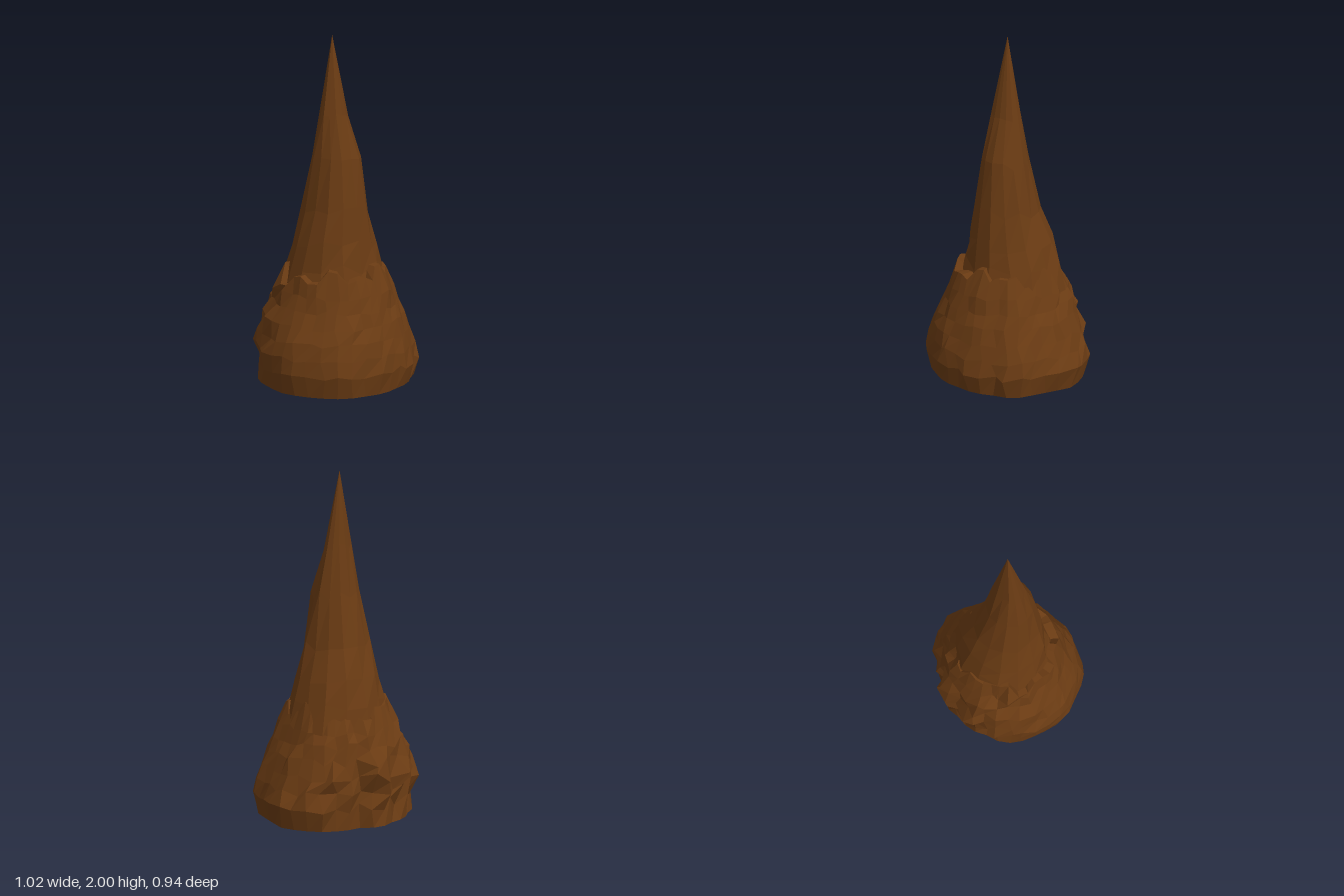
import * as THREE from 'three';

const brown = new THREE.MeshStandardMaterial({ color: 0x6a3b13, flatShading: true });

// Repeatable noise in -1..1
function noise(i, j) {
  const s = Math.sin(i * 127.1 + j * 311.7) * 43758.5453;
  return (s - Math.floor(s)) * 2 - 1;
}

// Skin between stacked rings of points (bottom to top), with optional flat base
function loft(rings, capBase) {
  const n = rings[0].length;
  const pos = rings.flat().flatMap(p => [p.x, p.y, p.z]);
  const idx = [];
  for (let r = 0; r < rings.length - 1; r++) {
    for (let i = 0; i < n; i++) {
      const a = r * n + i, b = r * n + (i + 1) % n;
      idx.push(b, a, a + n, b, a + n, b + n);
    }
  }
  if (capBase) {
    pos.push(0, rings[0][0].y, 0);
    for (let i = 0; i < n; i++) idx.push(pos.length / 3 - 1, i, (i + 1) % n);
  }
  const geo = new THREE.BufferGeometry();
  geo.setAttribute('position', new THREE.Float32BufferAttribute(pos, 3));
  geo.setIndex(idx);
  geo.computeVertexNormals();
  return geo;
}

// Slender spire: height, then reach toward +x, +z, -x, -z
function makeSpire() {
  const rows = [
    [0.35, 0.36, 0.34, 0.36, 0.35],
    [0.50, 0.33, 0.30, 0.32, 0.33],
    [0.68, 0.28, 0.245, 0.28, 0.29],
    [0.81, 0.235, 0.23, 0.255, 0.25],
    [1.00, 0.175, 0.20, 0.205, 0.19],
    [1.28, 0.115, 0.16, 0.165, 0.125],
    [1.56, 0.06, 0.08, 0.12, 0.07],
    [2.00, -0.03, -0.01, 0.03, 0.01],
  ];
  const n = 14;
  const rings = rows.map(([y, px, pz, nx, nz], r) => {
    const cx = (px - nx) / 2, cz = (pz - nz) / 2;
    const rx = (px + nx) / 2, rz = (pz + nz) / 2;
    return Array.from({ length: n }, (_, i) => {
      const a = i / n * Math.PI * 2;
      const tip = r === rows.length - 1;
      const k = tip ? 0 : 1 + 0.045 * noise(i, r);
      const dy = tip ? 0 : 0.035 * noise(i + 40, r);
      return new THREE.Vector3(cx + rx * k * Math.cos(a), y + dy, cz + rz * k * Math.sin(a));
    });
  });
  return loft(rings, false);
}

// Lumpy skirt of earth, roughest at the back, with a jagged rim lying against the spire
function makeSkirt() {
  // Widest outline every 15 degrees, from +x toward +z
  const outline = [
    0.51, 0.47, 0.47, 0.49, 0.46, 0.465, 0.46, 0.48, 0.485, 0.51, 0.505, 0.505,
    0.51, 0.49, 0.495, 0.495, 0.455, 0.46, 0.44, 0.465, 0.42, 0.46, 0.485, 0.50,
  ];
  // Height, then share of the outline toward +x, +z, -x, -z
  const rows = [
    [0.00, 0.94, 0.96, 0.95, 0.96],
    [0.12, 1.00, 1.00, 0.99, 0.93],
    [0.21, 0.93, 0.97, 0.98, 0.98],
    [0.29, 0.86, 0.92, 0.93, 1.01],
    [0.38, 0.79, 0.86, 0.85, 0.96],
    [0.46, 0.70, 0.80, 0.75, 0.86],
    [0.54, 0.64, 0.74, 0.70, 0.78],
    [0.64, 0.56, 0.65, 0.64, 0.68],
    [0.65, 0.42, 0.45, 0.45, 0.50],
  ];
  const n = 36, rim = 7;
  const rings = rows.map(([y, px, pz, nx, nz], r) => Array.from({ length: n }, (_, i) => {
    const t = i / n * outline.length, i0 = Math.floor(t);
    const R = THREE.MathUtils.lerp(outline[i0], outline[(i0 + 1) % outline.length], t - i0);
    let a = i / n * Math.PI * 2;
    const c = Math.cos(a), s = Math.sin(a), back = Math.max(0, -s);
    let k = (c > 0 ? px : nx) * c * c + (s > 0 ? pz : nz) * s * s;
    let dy = 0;
    if (r >= rim) {
      dy = 0.06 * noise(Math.floor(i / 2), 60) + 0.015 * noise(i, 61);
      k -= dy * 0.8;
    } else if (r > 0) {
      a += 0.05 * noise(i, r + 20);
      k += (0.018 + 0.05 * back) * noise(i, r + 5);
      dy = (0.015 + 0.02 * back) * noise(i + 9, r);
    }
    return new THREE.Vector3(R * k * Math.cos(a), y + dy, R * k * Math.sin(a));
  }));
  return loft(rings, true);
}

export function createModel() {
  const model = new THREE.Group();
  model.name = 'earthSpire';
  const spire = new THREE.Mesh(makeSpire(), brown);
  spire.name = 'spire';
  const skirt = new THREE.Mesh(makeSkirt(), brown);
  skirt.name = 'skirt';
  model.add(spire, skirt);
  return model;
}
